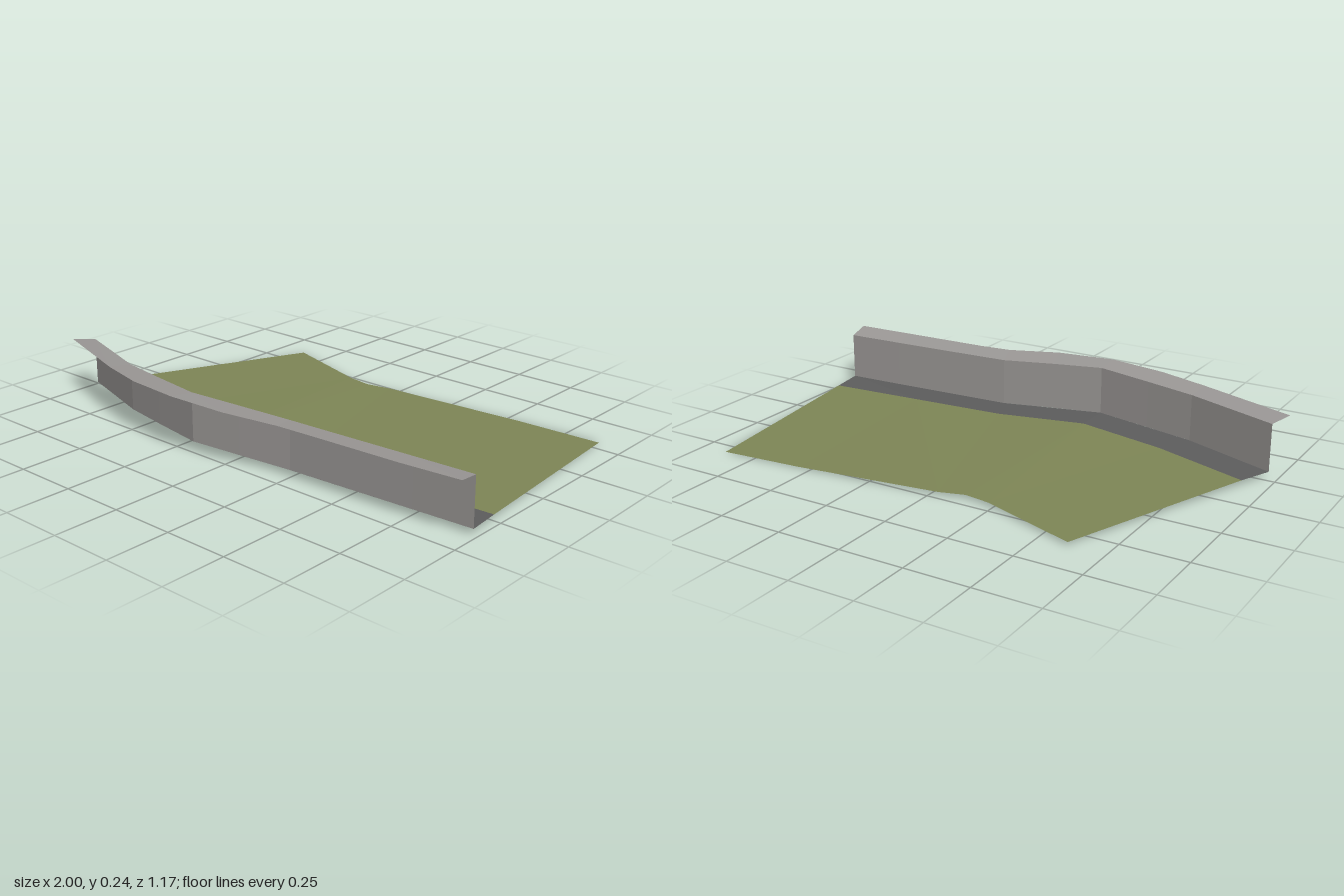
import * as THREE from 'three';

const flat = (name, color) => {
  const m = new THREE.MeshStandardMaterial({ color, side: THREE.DoubleSide, flatShading: true });
  m.name = name;
  return m;
};

// Thin sheet spanning two edge lines that have the same number of points
function ribbon(name, near, far, material) {
  const pos = [];
  const index = [];
  near.forEach((p, i) => {
    pos.push(...p, ...far[i]);
    if (i === 0) return;
    const a = 2 * i - 2, b = a + 1, c = a + 2, d = a + 3;
    index.push(a, c, b, b, c, d);
  });
  const geo = new THREE.BufferGeometry();
  geo.setAttribute('position', new THREE.Float32BufferAttribute(pos, 3));
  geo.setIndex(index);
  geo.computeVertexNormals();
  const mesh = new THREE.Mesh(geo, material);
  mesh.name = name;
  return mesh;
}

export function createModel() {
  const concrete = flat('concrete grey', 0x9b9896);
  const gravel = flat('dark grey', 0x5d5d5d);
  const grass = flat('grass green', 0x7e8656);

  // Edge lines running from -x to +x
  const ledgeOuter = [
    [-1, 0.22, 0.365], [-0.61, 0.225, 0.5], [-0.41, 0.23, 0.555], [-0.18, 0.236, 0.583],
    [0.06, 0.231, 0.565], [0.27, 0.222, 0.515], [0.4, 0.221, 0.505], [0.77, 0.223, 0.49], [1, 0.226, 0.475],
  ];
  const wallTop = [
    [-0.965, 0.207, 0.28], [-0.6, 0.213, 0.405], [-0.4, 0.219, 0.445], [-0.175, 0.226, 0.487],
    [0.03, 0.218, 0.455], [0.24, 0.208, 0.42], [0.4, 0.208, 0.411], [0.75, 0.209, 0.392], [0.985, 0.21, 0.38],
  ];
  const footHeights = [0.022, 0.029, 0.032, 0.036, 0.029, 0.021, 0.021, 0.022, 0.023];
  const wallFoot = wallTop.map(([x, , z], i) => [x, footHeights[i], z]);
  const stripFront = [0, 1, 3, 5, 7, 8].map((i) => wallFoot[i]);
  const stripBack = [
    [-0.91, 0.022, 0.155], [-0.53, 0.026, 0.28], [-0.17, 0.032, 0.35],
    [0.19, 0.022, 0.295], [0.58, 0.021, 0.27], [0.97, 0.02, 0.245],
  ];
  const grassBack = [
    [-0.61, 0.01, -0.59], [-0.23, 0.014, -0.465], [-0.13, 0.014, -0.45],
    [-0.03, 0.012, -0.475], [0.55, 0.004, -0.535], [0.89, 0, -0.555],
  ];

  const model = new THREE.Group();
  model.name = 'wallAndVerge';
  model.add(
    ribbon('topLedge', ledgeOuter, wallTop, concrete),
    ribbon('wall', wallFoot, wallTop, concrete),
    ribbon('footStrip', stripFront, stripBack, gravel),
    ribbon('grass', stripBack, grassBack, grass),
  );
  return model;
}
